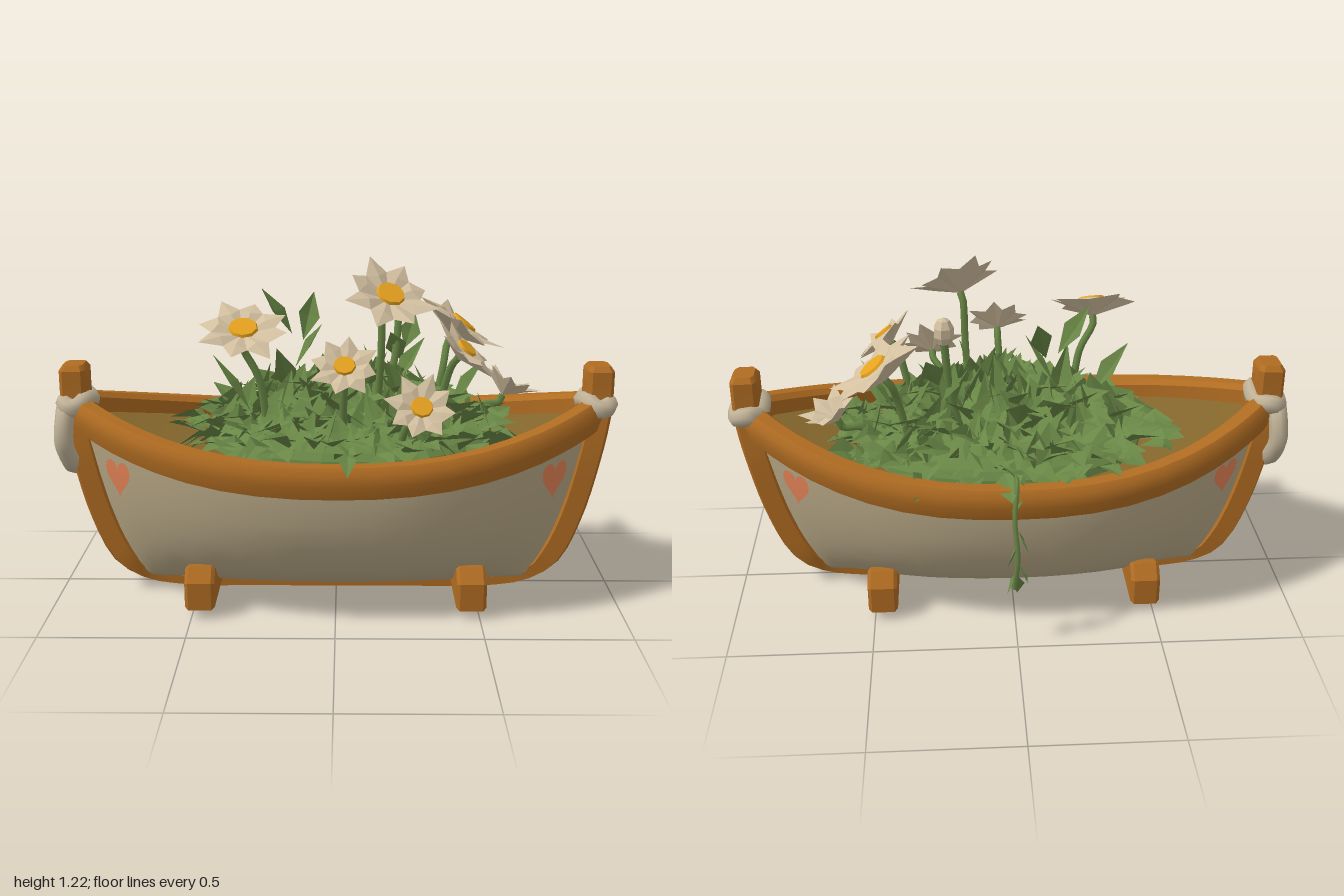
import * as THREE from 'three';
import { toCreasedNormals } from 'three/addons/utils/BufferGeometryUtils.js';

const V = (x, y, z) => new THREE.Vector3(x, y, z);
const mat = (name, color, double = false) => {
  const m = new THREE.MeshStandardMaterial({ color, side: double ? THREE.DoubleSide : THREE.FrontSide });
  m.name = name;
  return m;
};
const { lerp, smoothstep } = THREE.MathUtils;

// Boat lines: sheer height, outline of a level, hull surface
const KEEL_Y = 0.045;
const sheer = (x) => 0.585 + 0.13 * Math.pow(Math.abs(x) / 0.9, 2.2);
const levelLength = (v) => 0.64 + 0.26 * Math.sqrt(v);
const levelBeam = (v) => 0.432 * Math.sqrt(1 - Math.pow(1 - v, 3));
const halfWidth = (s, beam) => {
  const end = Math.min(0.065, beam);
  return end + (beam - end) * (1 - Math.pow(Math.min(1, Math.abs(s)), 2.6));
};
const hullZ = (x, y) => {
  const v = THREE.MathUtils.clamp((y - KEEL_Y) / (sheer(x) - 0.05 - KEEL_Y), 0, 1);
  return halfWidth(x / levelLength(v), levelBeam(v));
};
function outline(length, beam, n = 22) {
  const side = [];
  for (let i = 0; i <= n; i++) {
    const s = Math.sin(Math.PI * (i / n - 0.5));
    side.push(V(s * length, 0, halfWidth(s, beam)));
  }
  return [...side, ...side.slice().reverse().map((p) => V(p.x, 0, -p.z))];
}

// Skin over a list of equal-sized rings
function loft(rings, closeRing = true, closeEnds = false) {
  const n = rings[0].length, index = [];
  for (let i = 0; i < rings.length - (closeEnds ? 0 : 1); i++) {
    const k = (i + 1) % rings.length;
    for (let j = 0; j < n - (closeRing ? 0 : 1); j++) {
      const m = (j + 1) % n;
      index.push(i * n + j, i * n + m, k * n + m, i * n + j, k * n + m, k * n + j);
    }
  }
  const g = new THREE.BufferGeometry().setFromPoints(rings.flat());
  g.setIndex(index);
  g.computeVertexNormals();
  return g;
}

function trianglesGeometry(points) {
  const g = new THREE.BufferGeometry().setFromPoints(points);
  g.computeVertexNormals();
  return g;
}

// Pointed leaf folded along its midrib, rolled about its own length
function addLeaf(out, base, yaw, pitch, len, width, droop = 0.15, roll = 0) {
  const dir = V(Math.cos(yaw) * Math.cos(pitch), Math.sin(pitch), Math.sin(yaw) * Math.cos(pitch));
  const side = V(-Math.sin(yaw), 0, Math.cos(yaw)).applyAxisAngle(dir, roll);
  const up = side.clone().cross(dir).normalize();
  const at = (d, s, u) => base.clone().addScaledVector(dir, d * len).addScaledVector(side, s * width).addScaledVector(up, u * len);
  const b = at(0, 0, 0), l = at(0.5, -0.5, 0.05), m = at(0.52, 0, -0.03), r = at(0.5, 0.5, 0.05), t = at(1, 0, 0);
  t.y -= droop * len;
  out.push(b, m, l, b, r, m, l, m, t, m, r, t);
}

export function createModel() {
  const root = new THREE.Group(), boat = new THREE.Group();
  boat.name = 'boat';
  boat.position.z = 0.016;
  root.add(boat);
  const wood = mat('wood', 0xb06c22), paint = mat('hullPaint', 0xb9a987, true), rope = mat('rope', 0xbfb196);
  const soilMat = mat('soil', 0x85672c, true), green = mat('leafGreen', 0x698746, true);
  const petalMat = mat('petal', 0xd3c0a0, true), yellow = mat('flowerCentre', 0xe6a21f), coral = mat('heartPaint', 0xeb8759, true);
  const add = (name, geometry, material, parent = root) => {
    const m = new THREE.Mesh(geometry, material);
    m.name = name;
    parent.add(m);
    return m;
  };
  let seed = 7;
  const rnd = (a = 0, b = 1) => {
    seed = (seed * 16807) % 2147483647;
    return a + (b - a) * (seed / 2147483647);
  };

  // Hull, closed along the bottom
  const hullRings = [0, 0.015, 0.05, 0.11, 0.2, 0.32, 0.48, 0.66, 0.84, 1].map((v) =>
    outline(levelLength(v), levelBeam(v)).map((p) => V(p.x, lerp(KEEL_Y, sheer(p.x) - 0.05, v), p.z)));
  add('hull', loft(hullRings), paint, boat);

  // Rim swept round the hull's top edge
  const edge = outline(0.895, 0.43);
  const rimRings = [[0.03, -0.105], [0.042, -0.06], [0.04, -0.02], [0.022, 0.002], [-0.022, 0.003], [-0.042, -0.015], [-0.042, -0.105]].map(([off, dy]) =>
    edge.map((p, i) => {
      const t = edge[(i + 1) % edge.length].clone().sub(edge[(i + edge.length - 1) % edge.length]).normalize();
      return V(p.x - t.z * off, sheer(p.x) + dy, p.z + t.x * off);
    }));
  add('rim', toCreasedNormals(loft(rimRings, true, true), 0.7), wood, boat);

  // Soil bed inside the rim
  const soilRows = [];
  for (let i = 0; i <= 20; i++) {
    const x = lerp(-0.88, 0.88, i / 20), w = halfWidth(x / 0.895, 0.43);
    soilRows.push([-1, -0.5, 0, 0.5, 1].map((k) => V(x, sheer(x) - 0.06, k * w)));
  }
  add('soil', loft(soilRows, false), soilMat, boat);

  // Keel and both end posts in one sweep
  const half = [[0.93, 0.815], [0.928, 0.68], [0.9, 0.52], [0.845, 0.3], [0.775, 0.14], [0.69, 0.055], [0.55, 0.027], [0.25, 0.024]];
  const keelCurve = new THREE.CatmullRomCurve3([
    ...half.map(([x, y]) => V(-x, y, 0)), ...half.slice().reverse().map(([x, y]) => V(x, y, 0))]);
  const section = [[1, -0.7], [1, 0.7], [0.7, 1], [-0.7, 1], [-1, 0.7], [-1, -0.7], [-0.7, -1], [0.7, -1]];
  const keelRing = (u, scale, lift = 0) => {
    const p = keelCurve.getPointAt(u), t = keelCurve.getTangentAt(u);
    const thick = (0.022 + 0.025 * smoothstep(p.y, 0.025, 0.16)) * scale;
    const wide = (0.055 + 0.029 * smoothstep(p.y, 0.025, 0.12) - 0.02 * smoothstep(p.y, 0.5, 0.75)) * scale;
    return section.map(([n, z]) => V(p.x - t.y * n * thick, p.y + lift + t.x * n * thick, z * wide));
  };
  const keelRings = [keelRing(0, 0, 0.018), keelRing(0, 0.75, 0.018)];
  for (let i = 0; i <= 56; i++) keelRings.push(keelRing(i / 56, 1));
  keelRings.push(keelRing(1, 0.75, 0.018), keelRing(1, 0, 0.018));
  add('keelAndPosts', toCreasedNormals(loft(keelRings), 0.6), wood, boat);

  // Cross beams that the boat rests on
  const beamHalf = [[0.08, 0.08], [0.19, 0.1], [0.25, 0.16], [0.28, 0.165], [0.318, 0.125], [0.318, 0.04]];
  const beamShape = new THREE.Shape([...beamHalf, ...beamHalf.slice().reverse().map(([z, y]) => [-z, y])].map(([z, y]) => new THREE.Vector2(z, y)));
  const beamGeo = new THREE.ExtrudeGeometry(beamShape, { depth: 0.08, bevelThickness: 0.012, bevelSize: 0.01, bevelSegments: 1 });
  beamGeo.translate(0, 0, -0.04).rotateY(Math.PI / 2);
  for (const sx of [-1, 1]) add('crossBeam', beamGeo, wood, boat).position.x = sx * 0.47;

  // Painted hearts that follow the hull
  for (const sx of [-1, 1]) for (const sz of [-1, 1]) {
    const g = new THREE.RingGeometry(0.001, 1, 28, 4), pos = g.attributes.position;
    for (let i = 0; i < pos.count; i++) {
      const r = Math.hypot(pos.getX(i), pos.getY(i)), a = Math.atan2(pos.getY(i), pos.getX(i));
      const hx = Math.pow(Math.sin(a), 3);
      const hy = (13 * Math.cos(a) - 5 * Math.cos(2 * a) - 2 * Math.cos(3 * a) - Math.cos(4 * a)) / 15;
      const x = sx * (0.76 + r * hx * 0.049), y = 0.468 + r * hy * 0.075;
      pos.setXYZ(i, x, y, sz * (hullZ(x, y) + 0.009));
    }
    if (sx * sz > 0) g.index.array.reverse();
    g.computeVertexNormals();
    add('heart', g, coral, boat);
  }

  // Rope collars on the posts and a hanging loop on one end
  const ropeTube = (name, points) => add(name, new THREE.TubeGeometry(new THREE.CatmullRomCurve3(points, true), 48, 0.034, 8, true), rope, boat);
  for (const sx of [-1, 1]) {
    const pts = [];
    for (let i = 0; i < 10; i++) {
      const a = (i / 10) * Math.PI * 2;
      pts.push(V(sx * (0.924 + 0.042 * Math.cos(a)), 0.695 - 0.006 * Math.cos(a) + 0.008 * Math.sin(3 * a), 0.088 * Math.sin(a)));
    }
    ropeTube('ropeCollar', pts);
  }
  ropeTube('ropeLoop', [[-0.962, 0.69, 0], [-0.955, 0.66, 0.085], [-0.958, 0.57, 0.11], [-0.945, 0.49, 0.07], [-0.94, 0.46, 0],
    [-0.945, 0.49, -0.07], [-0.958, 0.57, -0.11], [-0.955, 0.66, -0.085]].map((p) => V(...p)));

  // Foliage: low mound, then broad leaves, alternately arching outwards and standing with their faces out
  const mound = new THREE.SphereGeometry(1, 18, 8, 0, Math.PI * 2, 0, Math.PI / 2);
  mound.scale(0.52, 0.13, 0.34).translate(0.04, 0.54, 0);
  add('foliageMound', toCreasedNormals(mound, 0.1), green);
  const leaves = [];
  for (let i = 0; i < 320; i++) {
    const a = i * 2.39996, r = Math.sqrt((i + 0.5) / 320), upright = i % 3 === 0;
    const base = V(0.04 + 0.53 * r * Math.cos(a), 0.57 + 0.1 * (1 - r * r), 0.34 * r * Math.sin(a));
    const yaw = a + rnd(-0.8, 0.8) + (upright ? Math.PI : 0);
    const pitch = upright ? rnd(0.75, 1.3) : lerp(0.85, 0.3, r) + rnd(-0.35, 0.35);
    addLeaf(leaves, base, yaw, pitch, rnd(0.12, 0.18) + 0.1 * (1 - r), rnd(0.075, 0.12), upright ? 0 : rnd(0.1, 0.4), rnd(-0.7, 0.7));
  }
  // Tall upright leaves, and one drooping over the front rim
  for (const [x, y, z, yaw, len] of [[-0.16, 0.92, -0.08, 3, 0.2], [-0.15, 0.8, -0.06, 0.4, 0.2], [-0.12, 0.9, -0.07, -1.2, 0.19],
    [-0.15, 0.68, -0.06, 2, 0.26], [0.05, 0.7, -0.15, 1.5, 0.24], [0.2, 0.72, -0.1, 0, 0.22], [0.1, 0.68, 0.1, 3.5, 0.25],
    [-0.3, 0.68, 0.1, 3.2, 0.24], [0.4, 0.66, 0, 0.3, 0.24], [0.1, 0.68, 0, 1, 0.26], [0.25, 0.85, -0.17, -1, 0.14], [0.24, 0.8, -0.19, 2.2, 0.14]]) {
    addLeaf(leaves, V(x, y, z), yaw, 1, len, 0.08, 0, 0.6);
  }
  addLeaf(leaves, V(0.04, 0.61, 0.4), 1.57, -0.1, 0.11, 0.06, 0.3);

  // Vine trailing over the back
  const stem = (name, points, radius) => add(name, new THREE.TubeGeometry(new THREE.CatmullRomCurve3(points), 14, radius, 5), green);
  stem('vine', [V(0, 0.6, -0.36), V(0, 0.605, -0.44), V(0.01, 0.5, -0.475), V(0, 0.36, -0.495), V(0.01, 0.22, -0.462)], 0.009);
  for (const [y, z, yaw] of [[0.6, -0.43, -1.2], [0.46, -0.48, 3], [0.41, -0.49, 0.2], [0.34, -0.485, 2.8], [0.3, -0.48, 0], [0.27, -0.462, 1.6]]) {
    addLeaf(leaves, V(0, y, z), yaw, -1.2, 0.1, 0.05, 0);
  }

  // Flowers: star of folded petals with a shallow underside, thin centre and a curved stem
  function flower(x, y, z, dx, dy, dz, R, cup = 0.1, centre = true) {
    const g = new THREE.Group(), dir = V(dx, dy, dz).normalize(), pts = [];
    g.name = 'flower';
    g.position.set(x, y, z);
    g.quaternion.setFromUnitVectors(V(0, 1, 0), dir);
    const polar = (a, r, h) => V(Math.cos(a) * r, h, Math.sin(a) * r);
    const step = Math.PI / 4, hub = V(0, -0.1 * R, 0), under = V(0, -0.32 * R, 0);
    for (let i = 0; i < 8; i++) {
      const a = i * step + 0.2;
      const tip = polar(a + rnd(-0.08, 0.08), R * rnd(0.92, 1.14), R * (cup + rnd(-0.2, 0.15)));
      const ridge = polar(a, R * 0.55, R * cup * 0.7);
      const l = polar(a - step / 2, R * 0.7, R * (cup * 0.6 - 0.03)), r = polar(a + step / 2, R * 0.7, R * (cup * 0.6 - 0.03));
      pts.push(hub, ridge, l, hub, r, ridge, l, ridge, tip, ridge, r, tip, under, l, tip, under, tip, r);
    }
    add('petals', trianglesGeometry(pts), petalMat, g);
    if (centre) add('flowerCentre', new THREE.CylinderGeometry(R * 0.3, R * 0.33, 0.009, 9), yellow, g).position.y = R * cup * 0.6 + 0.006;
    root.add(g);
    const end = V(x, y, z).addScaledVector(dir, -0.3 * R);
    const foot = V(x * 0.75, 0.56, z * 0.65);
    stem('flowerStem', [foot, V(lerp(foot.x, x, 0.4), lerp(0.56, y, 0.6), lerp(foot.z, z, 0.4)), end.clone().addScaledVector(dir, -0.03), end], 0.014);
  }
  flower(-0.31, 0.99, 0.22, 0.05, 0.85, 0.45, 0.155);
  flower(0.18, 1.1, 0.18, 0.28, 0.76, 0.55, 0.155);
  flower(0.44, 0.91, 0.15, 0.6, 0.75, 0.2, 0.12);
  flower(0.46, 0.93, -0.2, 0.62, 0.78, 0, 0.165);
  flower(0.03, 0.89, 0.33, 0, 0.7, 0.65, 0.115);
  flower(0.28, 0.77, 0.4, 0.1, 0.65, 0.75, 0.115);
  flower(0.62, 0.72, -0.1, 0.45, 0.85, -0.1, 0.105, 0.4, false);

  // Closed bud on its stem
  const bud = add('bud', toCreasedNormals(new THREE.SphereGeometry(0.036, 7, 5), 0.1), petalMat);
  bud.scale.set(1, 1.4, 1);
  bud.position.set(0.23, 1.055, -0.19);
  stem('budStem', [V(0.15, 0.56, -0.12), V(0.21, 0.8, -0.15), V(0.23, 1.02, -0.18)], 0.014);
  for (let i = 0; i < 4; i++) addLeaf(leaves, V(0.23, 0.99, -0.18), i * 1.57, 1.05, 0.07, 0.05, 0);

  add('leaves', trianglesGeometry(leaves), green);
  return root;
}
